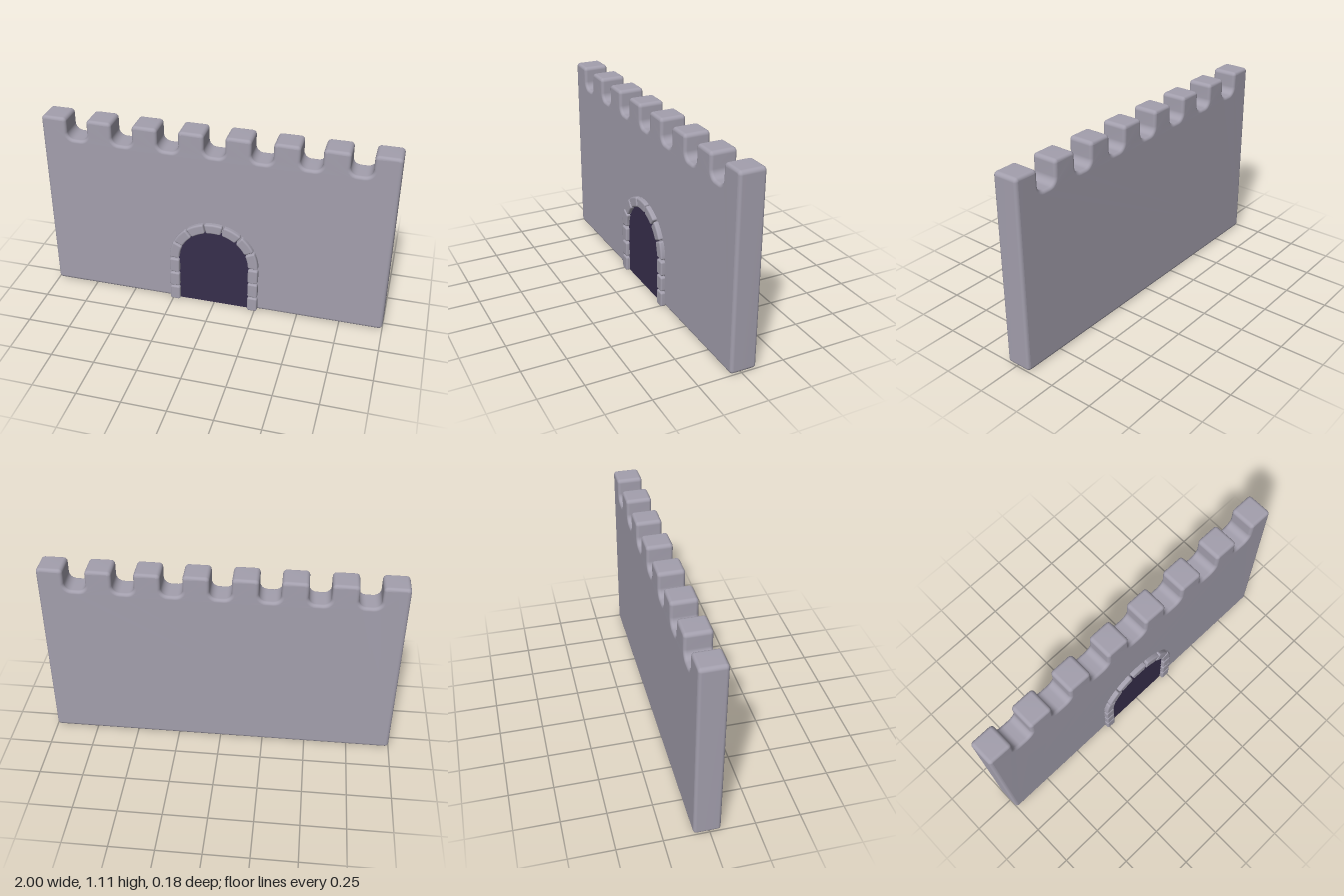
import * as THREE from 'three';
import { mergeVertices } from 'three/addons/utils/BufferGeometryUtils.js';

const SPRING = 0.297; // height where the arch begins
const R_IN = 0.206, R_OUT = 0.265;
const WALL_FRONT = 0.062, WALL_BACK = -0.088;

// Closed outline from [x, y, cornerRadius] points
function roundedShape(points) {
  const shape = new THREE.Shape();
  const n = points.length;
  points.forEach(([x, y, r = 0], i) => {
    const p = new THREE.Vector2(x, y);
    const toward = ([qx, qy]) =>
      new THREE.Vector2(qx, qy).sub(p).normalize().multiplyScalar(r).add(p);
    const a = toward(points[(i + n - 1) % n]);
    if (i === 0) shape.moveTo(a.x, a.y);
    else shape.lineTo(a.x, a.y);
    if (r > 0) {
      const b = toward(points[(i + 1) % n]);
      const k = 0.552; // cubic approximation of a round corner
      const c1 = a.clone().lerp(p, k), c2 = b.clone().lerp(p, k);
      shape.bezierCurveTo(c1.x, c1.y, c2.x, c2.y, b.x, b.y);
    }
  });
  return shape;
}

// Extrude between two depths with soft edges and smooth, area-weighted normals
function softExtrude(shape, zBack, zFront, bevel) {
  const geo = new THREE.ExtrudeGeometry(shape, {
    depth: zFront - zBack - 2 * bevel,
    bevelThickness: bevel, bevelSize: bevel, bevelOffset: -bevel,
    bevelSegments: 4, curveSegments: 6,
  });
  geo.translate(0, 0, zBack + bevel);
  geo.deleteAttribute('normal');
  geo.deleteAttribute('uv');
  const merged = mergeVertices(geo, 1e-5);
  merged.computeVertexNormals();
  return merged;
}

export function createModel() {
  const group = new THREE.Group();
  const stone = new THREE.MeshStandardMaterial({ color: 0xa39fad });
  stone.name = 'stone';
  const dark = new THREE.MeshStandardMaterial({ color: 0x372e4c });
  dark.name = 'dark doorway';
  const add = (name, geo, mat) => {
    const mesh = new THREE.Mesh(geo, mat);
    mesh.name = name;
    group.add(mesh);
  };

  // Wall with eight merlons
  const top = 1.11, notch = 0.98, width = 0.145, pitch = (2 - width) / 7;
  const outline = [[-1, 0, 0.022], [1, 0, 0.022]];
  for (let i = 7; i >= 0; i--) {
    const left = -1 + i * pitch, right = left + width;
    if (i < 7) outline.push([right, notch, 0.042]);
    outline.push([right, top, 0.022], [left, top, 0.022]);
    if (i > 0) outline.push([left, notch, 0.042]);
  }
  add('wall', softExtrude(roundedShape(outline), WALL_BACK, WALL_FRONT, 0.018), stone);

  // Dark doorway, a thin plate on the wall face
  const door = new THREE.Shape();
  const r = R_IN + 0.006;
  door.moveTo(-r, 0.004);
  door.lineTo(r, 0.004);
  door.lineTo(r, SPRING);
  door.absarc(0, SPRING, r, 0, Math.PI, false);
  const doorGeo = new THREE.ExtrudeGeometry(door, { depth: 0.006, bevelEnabled: false, curveSegments: 32 });
  doorGeo.translate(0, 0, WALL_FRONT - 0.002);
  add('doorway', doorGeo, dark);

  // Jamb stones, three on each side
  for (const side of [-1, 1]) {
    const x0 = side > 0 ? R_IN : -R_OUT, x1 = side > 0 ? R_OUT : -R_IN;
    for (let i = 0; i < 3; i++) {
      const y0 = i * 0.099, y1 = y0 + 0.092, c = 0.012;
      const shape = roundedShape([[x0, y0, c], [x1, y0, c], [x1, y1, c], [x0, y1, c]]);
      add('jambStone', softExtrude(shape, 0.05, 0.088, 0.009), stone);
    }
  }

  // Seven wedge stones around the arch
  const step = Math.PI / 7, steps = 4;
  for (let i = 0; i < 7; i++) {
    const pts = [];
    for (const [radius, dir] of [[R_OUT, 1], [R_IN, -1]]) {
      const half = step / 2 - 0.0035 / radius; // even joint width
      for (let j = 0; j <= steps; j++) {
        const a = (i + 0.5) * step + dir * half * (2 * j / steps - 1);
        const corner = j === 0 || j === steps ? 0.011 : 0;
        pts.push([radius * Math.cos(a), SPRING + radius * Math.sin(a), corner]);
      }
    }
    add('archStone', softExtrude(roundedShape(pts), 0.05, 0.088, 0.009), stone);
  }
  return group;
}
